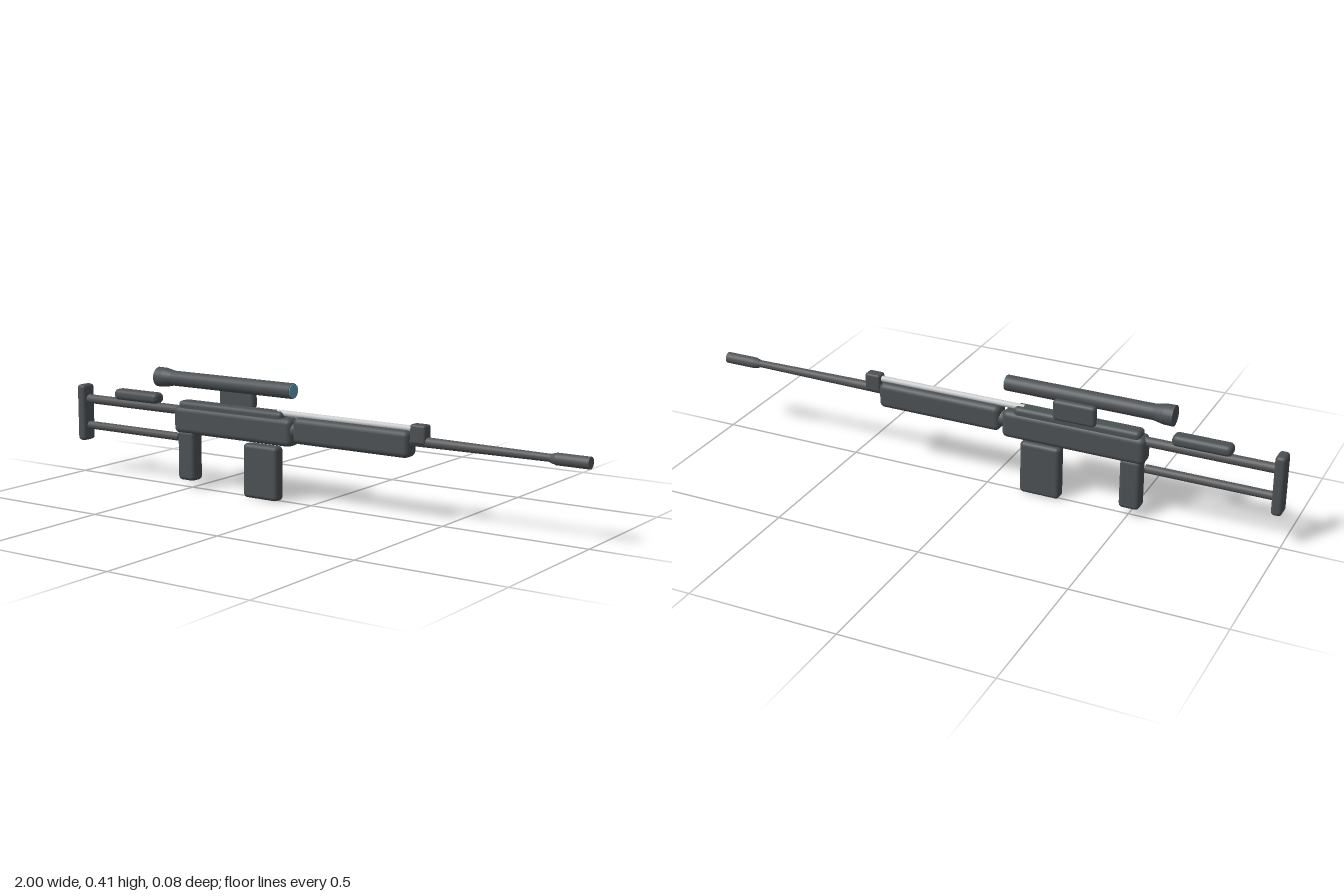
import * as THREE from 'three';
import { RoundedBoxGeometry } from 'three/addons/geometries/RoundedBoxGeometry.js';

export function createModel() {
  const model = new THREE.Group();
  model.name = 'longRifle';
  const mat = (name, color) => {
    const m = new THREE.MeshStandardMaterial({ color });
    m.name = name;
    return m;
  };
  const body = mat('charcoal', 0x4b5053);
  const steel = mat('darkSteel', 0x525456);
  const bright = mat('brightSteel', 0xc8cacb);
  const glass = mat('blueGlass', 0x5b9bb0);
  const Z = 0.005; // centre plane

  const add = (name, geometry, material) => {
    const mesh = new THREE.Mesh(geometry, material);
    mesh.name = name;
    model.add(mesh);
    return mesh;
  };
  // Rounded box given by its limits on each axis
  const box = (name, [x0, x1], [y0, y1], [z0, z1], r, material = body) => {
    const g = new RoundedBoxGeometry(x1 - x0, y1 - y0, z1 - z0, 3, r);
    g.translate((x0 + x1) / 2, (y0 + y1) / 2, (z0 + z1) / 2);
    return add(name, g, material);
  };
  // Round bar along x; r0 at x0, r1 at x1
  const bar = (name, x0, x1, y, r0, r1 = r0, material = steel) => {
    const g = new THREE.CylinderGeometry(r1, r0, x1 - x0, 24);
    g.rotateZ(-Math.PI / 2).translate((x0 + x1) / 2, y, Z);
    return add(name, g, material);
  };

  // Skeleton stock
  box('buttPlate', [-1, -0.965], [0.12, 0.322], [-0.024, 0.034], 0.012);
  bar('upperStockRod', -0.975, -0.54, 0.27, 0.016);
  bar('lowerStockRod', -0.975, -0.55, 0.175, 0.014);
  box('cheekRest', [-0.83, -0.635], [0.282, 0.32], [-0.02, 0.03], 0.016);

  // Receiver, grip and magazine
  box('receiver', [-0.552, -0.06], [0.194, 0.288], [-0.027, 0.038], 0.019);
  box('receiverCover', [-0.535, -0.1], [0.255, 0.307], [-0.022, 0.032], 0.014);
  box('grip', [-0.54, -0.47], [0.03, 0.205], [-0.024, 0.032], 0.014);
  box('magazine', [-0.262, -0.122], [0.002, 0.187], [-0.018, 0.028], 0.014);

  // Handguard, sight and operating rod
  box('handguard', [-0.052, 0.39], [0.208, 0.296], [-0.027, 0.038], 0.019);
  bar('operatingRod', -0.13, 0.4, 0.301, 0.01, 0.01, bright);
  box('frontSight', [0.39, 0.446], [0.256, 0.318], [-0.015, 0.025], 0.008);

  // Barrel and muzzle
  bar('barrelCore', -0.1, 0.0, 0.25, 0.025);
  bar('barrel', 0.38, 0.89, 0.263, 0.017, 0.012);
  bar('muzzleSleeve', 0.872, 0.89, 0.262, 0.014, 0.019);
  bar('muzzle', 0.89, 1, 0.262, 0.019);

  // Scope with its offset mount
  bar('scopeTube', -0.57, -0.068, 0.378, 0.026, 0.026, body);
  bar('scopeFlare', -0.605, -0.57, 0.378, 0.033, 0.026, body);
  bar('eyepiece', -0.637, -0.605, 0.378, 0.034, 0.033, body);
  bar('scopeLens', -0.068, -0.065, 0.378, 0.024, 0.024, glass);
  box('scopeMount', [-0.388, -0.242], [0.298, 0.369], [-0.037, -0.008], 0.012);

  return model;
}
